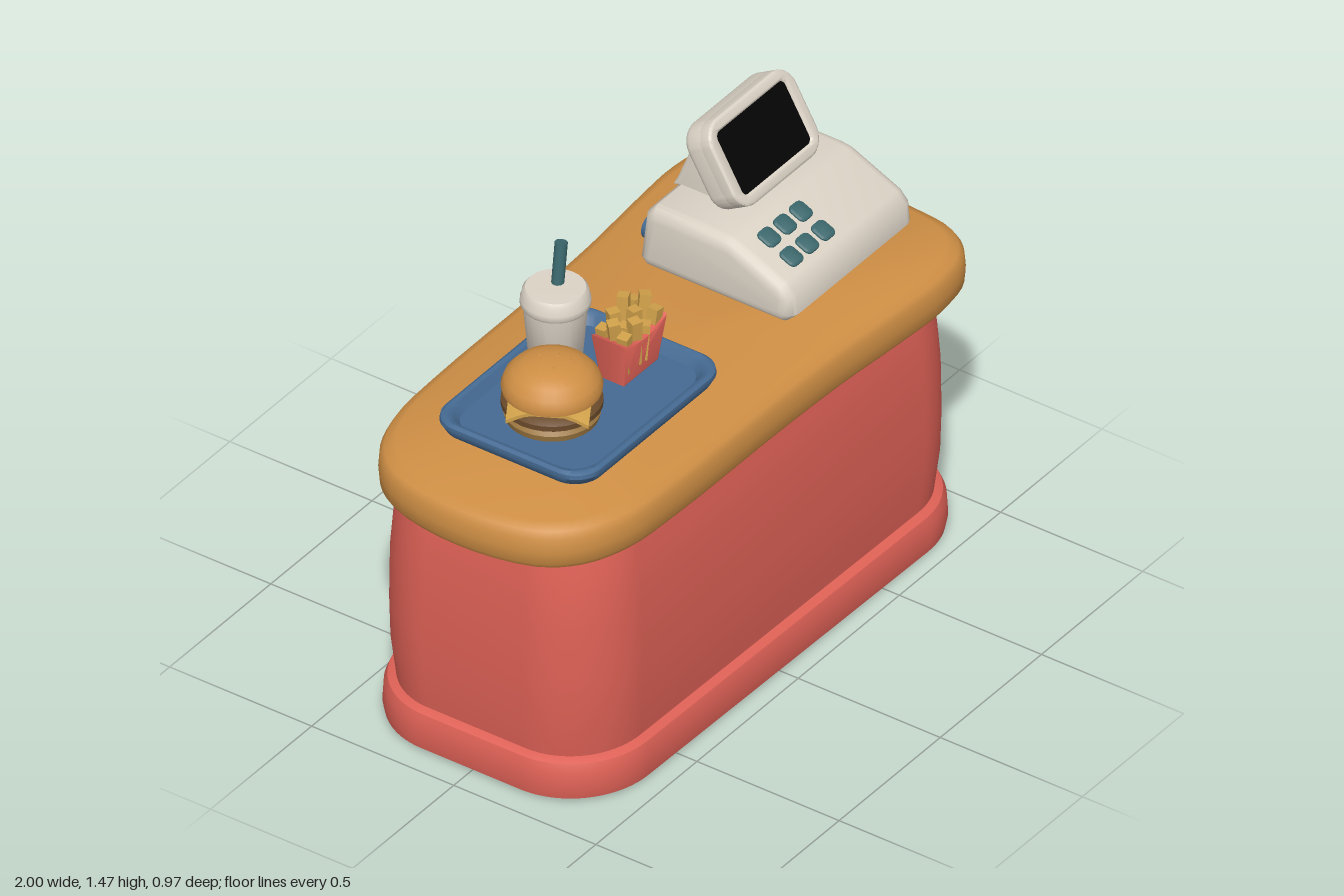
import * as THREE from 'three';
import { toCreasedNormals } from 'three/addons/utils/BufferGeometryUtils.js';

const mat = (name, color) => Object.assign(new THREE.MeshStandardMaterial({ color }), { name });

// Stacks scaled copies of an outline; each ring is [inset, y]. Ends are capped.
function loft(outline, rings) {
  const n = outline.length, pos = [], idx = [];
  const xs = outline.map(p => p.x), zs = outline.map(p => p.y);
  const x0 = Math.min(...xs), x1 = Math.max(...xs), z0 = Math.min(...zs), z1 = Math.max(...zs);
  const cx = (x0 + x1) / 2, cz = (z0 + z1) / 2;
  for (const [inset, y] of rings) {
    const sx = 1 - 2 * inset / (x1 - x0), sz = 1 - 2 * inset / (z1 - z0);
    for (const p of outline) pos.push(cx + (p.x - cx) * sx, y, cz + (p.y - cz) * sz);
  }
  const last = (rings.length - 1) * n, c = rings.length * n;
  pos.push(cx, rings[0][1], cz, cx, rings[rings.length - 1][1], cz);
  for (let i = 0; i < n; i++) {
    const k = (i + 1) % n;
    for (let r = 0; r < last; r += n) idx.push(r + i, r + n + i, r + k, r + k, r + n + i, r + n + k);
    idx.push(c, i, k, c + 1, last + k, last + i);
  }
  const g = new THREE.BufferGeometry();
  g.setAttribute('position', new THREE.Float32BufferAttribute(pos, 3));
  g.setIndex(idx);
  return toCreasedNormals(g, 0.7);
}

function roundRect(w, h, r, Type = THREE.Shape) {
  const s = new Type(), x = w / 2, y = h / 2;
  s.absarc(x - r, y - r, r, 0, Math.PI / 2);
  s.absarc(-x + r, y - r, r, Math.PI / 2, Math.PI);
  s.absarc(-x + r, -y + r, r, Math.PI, Math.PI * 1.5);
  s.absarc(x - r, -y + r, r, Math.PI * 1.5, Math.PI * 2);
  s.closePath();
  return s;
}
const rectLoop = (w, h, r) => roundRect(w, h, r).getPoints(10).slice(0, -1);

// Extrusion whose bevel stays inside the drawn outline, centred in depth
function extrude(shape, depth, b = 0) {
  const g = new THREE.ExtrudeGeometry(shape, {
    depth: depth - 2 * b, bevelEnabled: b > 0, bevelSize: b, bevelThickness: b,
    bevelOffset: -b, bevelSegments: 4, curveSegments: 8 });
  g.translate(0, 0, -depth / 2 + b);
  return toCreasedNormals(g, 0.8);
}

// Side profile given as [z, y], extruded along x
const sideProfile = (pts, width, b) =>
  extrude(new THREE.Shape(pts.map(([z, y]) => new THREE.Vector2(-z, y))), width, b).rotateY(Math.PI / 2);

const lathe = pts => toCreasedNormals(
  new THREE.LatheGeometry(pts.map(p => new THREE.Vector2(...p)), 28), 0.7);

export function createModel() {
  const root = new THREE.Group();
  const red = mat('red paint', 0xde6156), wood = mat('golden brown', 0xcf8f45);
  const cream = mat('cream plastic', 0xdcd3c6), black = mat('screen black', 0x050505);
  const teal = mat('teal plastic', 0x3b686d), blue = mat('tray blue', 0x456a92);
  const yellow = mat('fry yellow', 0xcfa04a), brown = mat('patty brown', 0x6a4a2a);
  const toast = mat('toasted bun', 0x9c7740);

  function add(parent, name, geo, material, x = 0, y = 0, z = 0) {
    const m = new THREE.Mesh(geo, material);
    m.name = name;
    m.position.set(x, y, z);
    parent.add(m);
    return m;
  }
  function group(name, x = 0, y = 0, z = 0, parent = root) {
    const g = new THREE.Group();
    g.name = name;
    g.position.set(x, y, z);
    parent.add(g);
    return g;
  }

  // Counter top: pear-like outline, round on one end and flared on the other
  const half = [[-0.955, 0.255], [-0.865, 0.362], [-0.72, 0.422], [-0.5, 0.44], [0, 0.445], [0.3, 0.455],
    [0.55, 0.475], [0.76, 0.484], [0.89, 0.455], [0.97, 0.37], [0.995, 0.2]];
  const ring = [[-1, 0], ...half.map(([x, z]) => [x, -z]), [1, 0], ...[...half].reverse()];
  const curve = new THREE.CatmullRomCurve3(ring.map(([x, z]) => new THREE.Vector3(x, 0, z)), true);
  const outline = curve.getPoints(96).slice(0, -1).map(p => new THREE.Vector2(p.x, p.z));
  const counter = group('counter');
  add(counter, 'counterTop', loft(outline, [[0.04, 0.835], [0.014, 0.842], [0.003, 0.86], [0, 0.9],
    [0.003, 0.945], [0.015, 0.967], [0.045, 0.98]]), wood);

  // Body and plinth: rounded boxes, slightly deeper toward the flared end
  const flared = (w, d, r) => rectLoop(w, d, r).map(p => new THREE.Vector2(p.x, p.y * (0.98 + 0.03 * p.x)));
  add(counter, 'counterBody', loft(flared(1.87, 0.87, 0.25), [[0.02, 0.1], [0.014, 0.16], [0.003, 0.27],
    [0, 0.4], [0.002, 0.58], [0.01, 0.7], [0.02, 0.78], [0.032, 0.85]]), red, 0.032);
  add(counter, 'counterPlinth', loft(flared(1.905, 0.912, 0.27), [[0.02, 0], [0.005, 0.01], [0, 0.04],
    [0.003, 0.1], [0.012, 0.125], [0.035, 0.137]]), red, 0.031);

  // Tray
  add(root, 'tray', loft(rectLoop(0.72, 0.55, 0.09), [[0.03, 0.975], [0.012, 0.99],
    [0, 1.015], [0.002, 1.028], [0.012, 1.035], [0.025, 1.032], [0.034, 1.02], [0.046, 1.003]]),
  blue, -0.382, 0, -0.003);

  // Burger
  const burger = group('burger', -0.5, 1.0, -0.01);
  add(burger, 'bottomBun', lathe([[0, 0], [0.115, 0], [0.137, 0.015], [0.142, 0.035], [0.13, 0.05], [0, 0.05]]), toast);
  add(burger, 'patty', lathe([[0, 0.045], [0.13, 0.045], [0.148, 0.058], [0.148, 0.075], [0.13, 0.088], [0, 0.088]]), brown);
  const cheese = new THREE.BoxGeometry(0.24, 0.012, 0.24, 8, 1, 8), cp = cheese.attributes.position;
  for (let i = 0; i < cp.count; i++) {
    const r = Math.hypot(cp.getX(i), cp.getZ(i));
    cp.setY(i, cp.getY(i) - Math.max(0, r - 0.13) * 0.8);
  }
  cheese.computeVertexNormals();
  add(burger, 'cheese', cheese, yellow, 0, 0.094).rotation.y = 0.5;
  add(burger, 'topBun', lathe([[0, 0.098], [0.13, 0.098], [0.146, 0.108], [0.148, 0.125], [0.138, 0.152],
    [0.115, 0.178], [0.08, 0.196], [0.04, 0.204], [0, 0.206]]), wood);
  for (let i = 0; i < 12; i++) {
    const a = i * 2.4, r = 0.03 + 0.0075 * i;
    const seed = add(burger, 'sesameSeed', new THREE.SphereGeometry(1, 8, 6), wood,
      Math.cos(a) * r, 0.105 + 0.1 * Math.sqrt(1 - (r / 0.15) ** 2), Math.sin(a) * r);
    seed.scale.set(0.01, 0.004, 0.005);
    seed.rotation.y = a * 1.7;
  }

  // Drink cup with lid and straw
  const cup = group('drink', -0.258, 1.0, -0.17);
  add(cup, 'cup', lathe([[0, 0], [0.072, 0], [0.078, 0.008], [0.095, 0.2], [0, 0.2]]), cream);
  add(cup, 'lid', lathe([[0, 0.195], [0.098, 0.195], [0.103, 0.203], [0.103, 0.22], [0.099, 0.228],
    [0.097, 0.245], [0.088, 0.256], [0, 0.257]]), cream);
  const straw = new THREE.LineCurve3(new THREE.Vector3(0.01, 0.2, -0.005), new THREE.Vector3(0.045, 0.383, -0.012));
  const strawMesh = add(cup, 'straw', new THREE.CylinderGeometry(0.019, 0.019, straw.getLength(), 12), teal);
  strawMesh.position.copy(straw.getPoint(0.5));
  strawMesh.quaternion.setFromUnitVectors(new THREE.Vector3(0, 1, 0), straw.getTangent(0));

  // Fries in a tapered carton
  const fries = group('fries', -0.173, 1.0, 0.028);
  const carton = new THREE.Shape();
  carton.moveTo(-0.085, 0);
  carton.lineTo(0.085, 0);
  carton.lineTo(0.106, 0.158);
  carton.quadraticCurveTo(0, 0.11, -0.106, 0.158);
  const cartonGeo = extrude(carton, 0.12, 0.006), kp = cartonGeo.attributes.position;
  for (let i = 0; i < kp.count; i++) kp.setZ(i, kp.getZ(i) * (0.72 + 1.8 * kp.getY(i)));
  add(fries, 'carton', cartonGeo, red);
  for (let i = 0; i < 12; i++) {
    const col = i % 4, row = Math.floor(i / 4), h = 0.12 + ((i * 7) % 5) * 0.013;
    const fry = add(fries, 'fry', new THREE.BoxGeometry(0.034, h, 0.034), yellow,
      (col - 1.5) * 0.045, 0.058 + h / 2 - row * 0.008, (row - 1) * 0.034);
    fry.rotation.set((row - 1) * 0.06, i, -(col - 1.5) * 0.1, 'XZY');
  }

  // Cash register housing and monitor neck
  const register = group('cashRegister', 0.59, 0, 0);
  add(register, 'registerHousing', sideProfile([[-0.245, 0.973], [0.242, 0.973], [0.272, 1.003], [0.266, 1.07],
    [0.235, 1.105], [0.06, 1.184], [0.02, 1.189], [-0.22, 1.189], [-0.25, 1.159], [-0.27, 1.0]], 0.618, 0.04), cream);
  add(register, 'monitorNeck', sideProfile([[-0.26, 1.17], [-0.0, 1.17], [-0.01, 1.21], [-0.08, 1.32],
    [-0.185, 1.325], [-0.205, 1.3], [-0.245, 1.2]], 0.31, 0.025), cream);

  // Keypad and receipt slot lie on the sloping front
  const tilt = 0.42, slopeY = z => 1.2 - 0.447 * z;
  for (const x of [0.4, 0.478, 0.556]) for (const z of [0.11, 0.188]) {
    const key = add(register, 'key', extrude(roundRect(0.06, 0.063, 0.018), 0.03, 0.006).rotateX(-Math.PI / 2),
      teal, x - 0.59, slopeY(z) + 0.004, z);
    key.rotation.x = tilt;
  }
  const slot = group('receiptSlot', 0.143, slopeY(0.167) - 0.002, 0.167, register);
  slot.rotation.x = tilt;
  const frame = roundRect(0.187, 0.09, 0.014);
  frame.holes.push(roundRect(0.152, 0.045, 0.008, THREE.Path));
  add(slot, 'slotFrame', extrude(frame, 0.016).rotateX(-Math.PI / 2), wood);
  add(slot, 'slotFloor', new THREE.BoxGeometry(0.16, 0.008, 0.05), wood);
  add(slot, 'receipt', new THREE.BoxGeometry(0.135, 0.018, 0.022), wood);

  // Tilted monitor with a recessed screen
  const monitor = group('monitor', -0.008, 1.323, -0.073, register);
  monitor.rotation.x = -0.526;
  add(monitor, 'monitorBack', extrude(roundRect(0.415, 0.28, 0.07), 0.096, 0.025), cream, 0, 0, -0.014);
  const bezel = roundRect(0.415, 0.28, 0.07);
  bezel.holes.push(roundRect(0.335, 0.205, 0.02, THREE.Path));
  add(monitor, 'monitorBezel', extrude(bezel, 0.05, 0.008), cream, 0, 0, 0.023);
  add(monitor, 'screen', extrude(roundRect(0.355, 0.225, 0.02), 0.008), black, 0, 0, 0.037);

  // Lock disc on the back
  add(register, 'lockDisc', new THREE.CylinderGeometry(0.036, 0.04, 0.03, 20).rotateX(-Math.PI / 2),
    blue, -0.243, 1.072, -0.26);
  return root;
}
